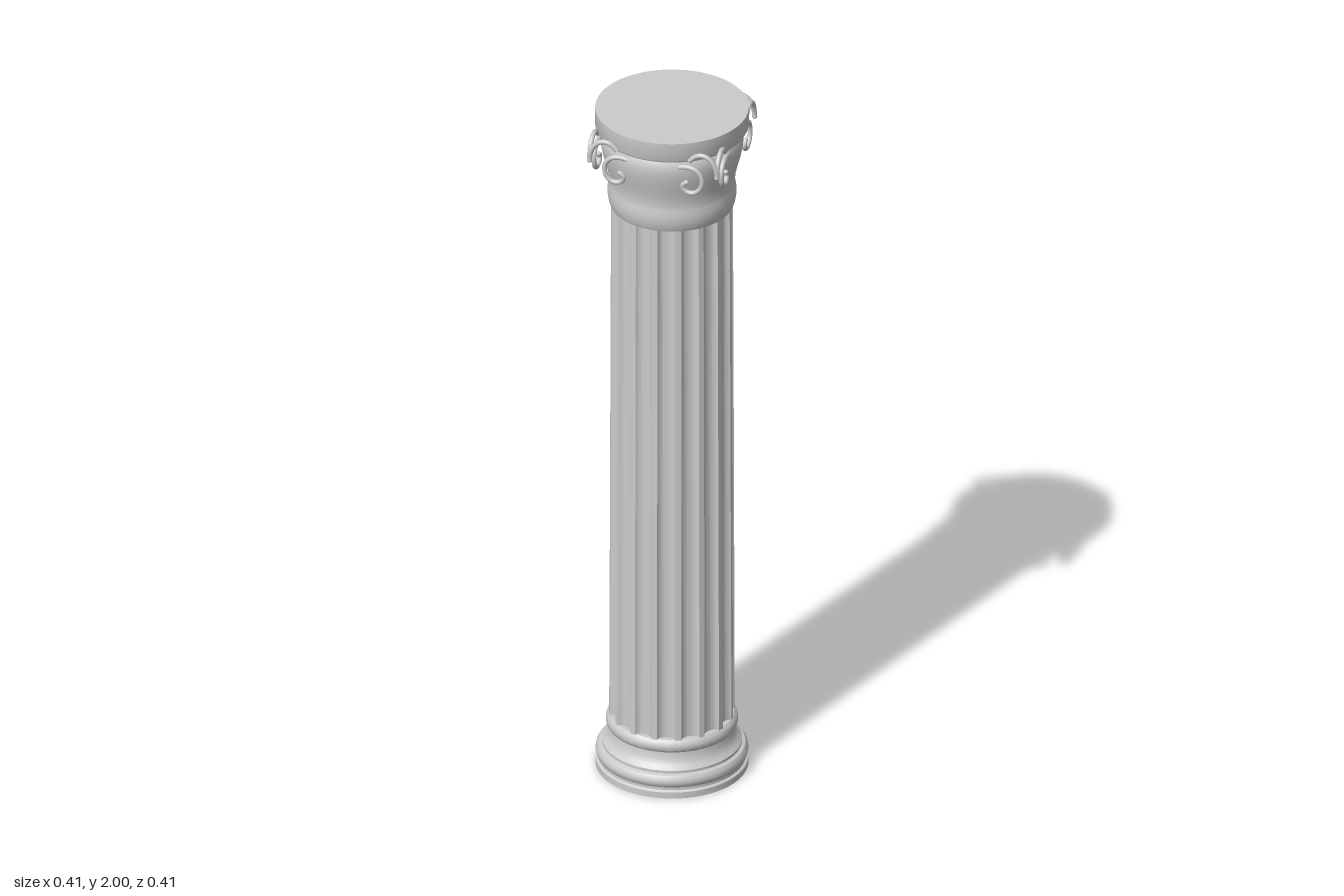
import * as THREE from 'three';
import { toCreasedNormals } from 'three/addons/utils/BufferGeometryUtils.js';

const stone = new THREE.MeshStandardMaterial({ color: 0xcccccc });

function addMesh(parent, name, geometry) {
  const mesh = new THREE.Mesh(geometry, stone);
  mesh.name = name;
  parent.add(mesh);
  return mesh;
}

// Turned moulding from [radius, height] pairs, with crisp edges kept
function turned(profile) {
  const points = profile.map(([r, y]) => new THREE.Vector2(r, y));
  return toCreasedNormals(new THREE.LatheGeometry(points, 96), 0.6);
}

// Fluted shaft: scalloped outline extruded upwards, tapering slightly
function flutedShaft(y0, y1, r0, r1, flutes = 16, depth = 0.016) {
  const outline = [];
  const step = (Math.PI * 2) / flutes;
  const fillet = step * 0.24;
  for (let i = 0; i < flutes; i++) {
    for (let j = 0; j <= 10; j++) {
      const t = j / 10;
      const a = i * step + fillet / 2 + t * (step - fillet);
      const r = 1 - (depth / r0) * Math.sqrt(Math.max(0, 1 - (2 * t - 1) ** 2));
      outline.push(new THREE.Vector2(r * Math.cos(a), r * Math.sin(a)));
    }
  }
  const geo = new THREE.ExtrudeGeometry(new THREE.Shape(outline), {
    depth: 1, steps: 4, bevelEnabled: false,
  });
  geo.rotateX(-Math.PI / 2);
  const p = geo.attributes.position;
  for (let i = 0; i < p.count; i++) {
    const t = p.getY(i);
    const r = THREE.MathUtils.lerp(r0, r1, t);
    p.setXYZ(i, p.getX(i) * r, THREE.MathUtils.lerp(y0, y1, t), p.getZ(i) * r);
  }
  return toCreasedNormals(geo, 0.6);
}

// Round rod along a smooth path of [x, y] points lying in a face of the capital
function rod(path) {
  const curve = new THREE.CatmullRomCurve3(path.map(([x, y]) => new THREE.Vector3(x, y, 0)));
  return new THREE.TubeGeometry(curve, 28, 0.007, 8);
}

export function createModel() {
  const column = new THREE.Group();
  column.name = 'column';

  // Base: plinth disc, torus, hollow and upper ring
  addMesh(column, 'base', turned([
    [0, 0], [0.204, 0], [0.204, 0.018], [0.197, 0.022], [0.197, 0.03],
    [0.202, 0.037], [0.204, 0.046], [0.202, 0.056], [0.196, 0.064], [0.187, 0.067],
    [0.187, 0.075], [0.176, 0.085], [0.168, 0.1], [0.166, 0.12],
    [0.172, 0.123], [0.176, 0.13], [0.176, 0.142], [0.172, 0.153], [0.166, 0.158], [0, 0.158],
  ]));

  addMesh(column, 'shaft', flutedShaft(0.15, 1.72, 0.168, 0.163));

  // Capital: necking bead, flaring bell, groove and round abacus
  addMesh(column, 'capital', turned([
    [0, 1.71], [0.164, 1.71], [0.169, 1.722], [0.172, 1.74], [0.172, 1.758], [0.169, 1.775],
    [0.168, 1.785], [0.171, 1.81], [0.177, 1.835], [0.184, 1.86], [0.189, 1.885],
    [0.191, 1.905], [0.189, 1.922], [0.184, 1.932], [0.186, 1.938],
    [0.201, 1.942], [0.205, 1.95], [0.205, 2], [0, 2],
  ]));

  // Scrollwork: a mirrored pair of horns and volutes on each of four faces
  const horn = rod([
    [0.178, 1.905], [0.174, 1.93], [0.162, 1.952], [0.143, 1.965], [0.122, 1.963], [0.1, 1.945],
  ]);
  const volute = rod([
    [0.072, 1.922], [0.095, 1.925], [0.12, 1.918], [0.135, 1.895], [0.131, 1.865],
    [0.112, 1.849], [0.09, 1.852], [0.082, 1.868], [0.092, 1.878],
  ]);
  const cap = new THREE.SphereGeometry(0.007, 10, 8);
  for (let face = 0; face < 4; face++) {
    const scrolls = new THREE.Group();
    scrolls.name = 'scrolls';
    scrolls.rotation.y = (face * Math.PI) / 2;
    for (const side of [1, -1]) {
      const pair = new THREE.Group();
      pair.name = side > 0 ? 'leftScroll' : 'rightScroll';
      pair.scale.x = side;
      pair.position.z = 0.177;
      addMesh(pair, 'horn', horn);
      addMesh(pair, 'volute', volute);
      addMesh(pair, 'hornTip', cap).position.set(0.178, 1.905, 0);
      addMesh(pair, 'voluteTip', cap).position.set(0.092, 1.878, 0);
      scrolls.add(pair);
    }
    column.add(scrolls);
  }
  return column;
}
